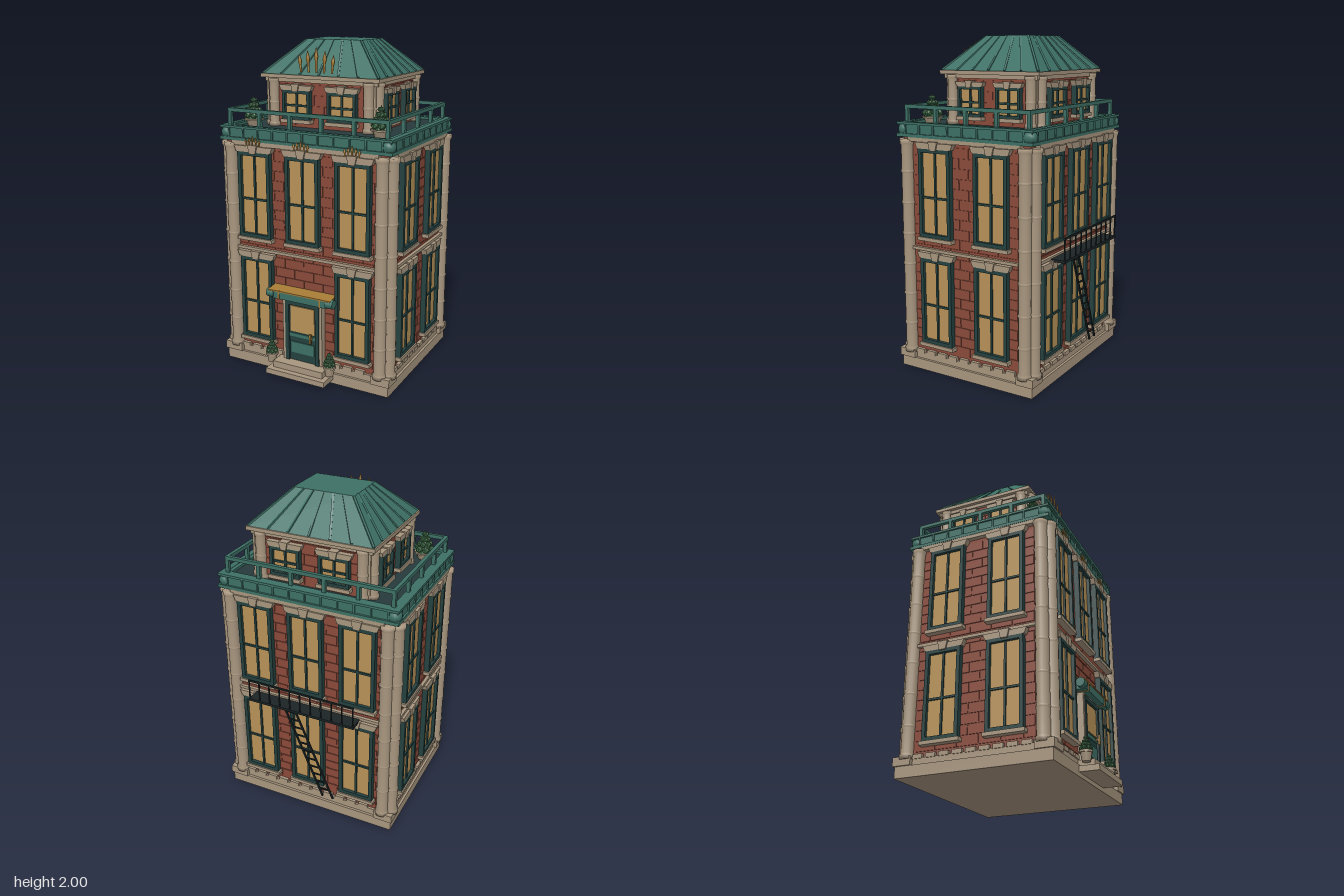
import * as THREE from 'three';
import { mergeGeometries } from 'three/addons/utils/BufferGeometryUtils.js';

const C = { brick: 0x8a4a3a, stone: 0xa8967f, teal: 0x3d7065, trim: 0x24413f, deck: 0x263a3c,
  glass: 0xb89258, gold: 0xa57a35, leaf: 0x3f6e48, iron: 0x1c2426 };
const mats = {};
const mat = (c, flat) => (mats[c + (flat ? 'f' : '')] ??=
  new THREE.MeshStandardMaterial({ color: C[c], flatShading: !!flat }));

// box by centre x, bottom y, centre z
const box = (w, h, d, x = 0, y = 0, z = 0) => new THREE.BoxGeometry(w, h, d).translate(x, y + h / 2, z);
function add(parent, name, color, geos, flat) {
  const list = [].concat(geos).map(g => (g.index ? g.toNonIndexed() : g));
  const m = new THREE.Mesh(list.length > 1 ? mergeGeometries(list) : list[0], mat(color, flat));
  m.name = name;
  parent.add(m);
  return m;
}
function group(parent, name, x = 0, y = 0, z = 0) {
  const g = new THREE.Group();
  g.name = name;
  g.position.set(x, y, z);
  parent.add(g);
  return g;
}
// square bar between two points
function bar(a, b, t, t2 = t) {
  const A = new THREE.Vector3(...a), B = new THREE.Vector3(...b);
  const m = new THREE.Matrix4().lookAt(B, A, new THREE.Vector3(0, 1, 0.001));
  return new THREE.BoxGeometry(t, t2, A.distanceTo(B)).applyMatrix4(m)
    .translate(...A.add(B).multiplyScalar(0.5).toArray());
}
function extrude(pts, depth) {
  const s = new THREE.Shape(pts.map(p => new THREE.Vector2(...p)));
  return new THREE.ExtrudeGeometry(s, { depth, bevelEnabled: false });
}
// rectangular ring
function frame(hx, hz, t, h, y) {
  return [-1, 1].flatMap(s => [box(hx * 2, h, t, 0, y, s * (hz - t / 2)),
    box(t, h, hz * 2 - t * 2, s * (hx - t / 2), y, 0)]);
}
// four wall groups whose local z points outward
function walls(parent, hx, hz, fn) {
  ['front', 'right', 'back', 'left'].forEach((side, i) => {
    const g = group(parent, side + 'Wall');
    g.rotation.y = i * Math.PI / 2;
    const [w, d] = i % 2 ? [hz, hx] : [hx, hz];
    fn(g, i, w, d);
  });
}
function bricks(g, w, d, y0, y1) {
  const rows = Math.round((y1 - y0) / 0.058), h = (y1 - y0) / rows, L = 0.13, out = [];
  for (let r = 0; r < rows; r++)
    for (let x = -w - (r % 2 ? L / 2 : 0); x < w - 0.001; x += L) {
      const a = Math.max(x, -w), b = Math.min(x + L, w);
      out.push(box(b - a - 0.005, h - 0.005, 0.01, (a + b) / 2, y0 + r * h, d));
    }
  add(g, 'bricks', 'brick', out);
}
// sash window with sill, flared lintel and keystone
function windowUnit(parent, x, y, z, w, h) {
  const g = group(parent, 'window', x, y, z), f = w * 0.1, k = w / 0.22;
  add(g, 'windowFrame', 'trim', [-1, 1].flatMap(s => [
    box(f, h, 0.038, s * (w - f) / 2, 0, 0.019),
    box(w - f * 2, f, 0.038, 0, s > 0 ? h - f : 0, 0.019)])
    .concat(box(0.012, h - f, 0.028, 0, 0, 0.014), box(w - f, 0.012, 0.028, 0, h * 0.44, 0.014)));
  add(g, 'windowGlass', 'glass', box(w - f, h - f, 0.018, 0, f / 2, 0.009));
  add(g, 'windowSill', 'stone', box(w * 1.1, 0.022, 0.046, 0, -0.022, 0.023));
  const a = w * 0.54, b = w * 0.6, t = 0.036 * k;
  add(g, 'windowLintel', 'stone', [
    extrude([[-a, h], [a, h], [b, h + t], [-b, h + t]], 0.038),
    extrude([[-0.02 * k, h - 0.008], [0.02 * k, h - 0.008], [0.032 * k, h + t + 0.008], [-0.032 * k, h + t + 0.008]], 0.047)]);
}
// banded column made of stacked drums
function columnGeo(r, y0, y1, drums, x, z) {
  const p = [[0, y0], [r * 1.2, y0], [r * 1.2, y0 + r * 0.7], [r, y0 + r * 0.9]];
  const h = (y1 - y0) / drums;
  for (let i = 1; i < drums; i++) {
    const y = y0 + i * h;
    p.push([r, y - 0.009], [r * 1.1, y - 0.005], [r * 1.1, y + 0.005], [r, y + 0.009]);
  }
  p.push([r, y1 - r * 0.9], [r * 1.18, y1 - r * 0.6], [r * 1.18, y1], [0, y1]);
  return new THREE.LatheGeometry(p.map(q => new THREE.Vector2(...q)), 14).translate(x, 0, z);
}
// a pair of columns at each corner: one toward the front or back, one toward the side
function cornerColumns(parent, r, y0, y1, n, fx, fz, sx, sz) {
  const out = [];
  for (const a of [-1, 1]) for (const b of [-1, 1])
    out.push(columnGeo(r, y0, y1, n, a * fx, b * fz), columnGeo(r, y0, y1, n, a * sx, b * sz));
  add(parent, 'cornerColumns', 'stone', out);
}
// fan of pointed leaves
function crest(parent, name, x, y, z, step, h, t) {
  const out = [];
  for (let i = -2; i <= 2; i++) {
    const k = h * (1 - Math.abs(i) * 0.15);
    const s = new THREE.LatheGeometry([[0, 0], [t * 0.5, 0], [t * 0.55, k * 0.4], [t, k * 0.62], [0, k]]
      .map(q => new THREE.Vector2(...q)), 6);
    out.push(s.scale(1, 1, 0.5).rotateZ(-i * 0.06).translate(x + i * step, y, z));
  }
  add(parent, name, 'gold', out, true);
}
// potted shrub with rings of leafy clumps
function shrub(parent, x, y, z, r, potH, h) {
  const g = group(parent, 'pottedShrub', x, y, z), out = [];
  add(g, 'pot', 'stone', [new THREE.CylinderGeometry(r, r * 0.7, potH, 10).translate(0, potH / 2, 0),
    new THREE.CylinderGeometry(r * 1.12, r * 1.12, potH * 0.2, 10).translate(0, potH * 0.9, 0)]);
  for (let l = 0; l < 4; l++) {
    const k = 1 - l * 0.26;
    out.push(new THREE.ConeGeometry(r * k, h * 0.35, 6).translate(0, potH + h * (0.17 + l * 0.22), 0));
    for (let i = 0; i < 6; i++) {
      const a = (i + l / 2) * Math.PI / 3;
      out.push(new THREE.IcosahedronGeometry(r * (0.2 + 0.2 * k), 0)
        .translate(Math.cos(a) * r * 0.75 * k, potH + h * (0.14 + l * 0.22), Math.sin(a) * r * 0.75 * k));
    }
  }
  add(g, 'foliage', 'leaf', out, true);
}

export function createModel() {
  const model = new THREE.Group();
  model.name = 'townhouse';
  const house = group(model, 'house', 0, 0, -0.015);
  const HX = 0.53, HZ = 0.43;

  // plinth and base course
  add(house, 'plinth', 'stone', [box(1.12, 0.065, 0.92), box(1.09, 0.04, 0.89, 0, 0.065)]);
  add(house, 'wallCore', 'brick', box(HX * 2, 1.32, HZ * 2, 0, 0.1));
  add(house, 'cornerBlocks', 'stone', [-1, 1].flatMap(a => [-1, 1].flatMap(b => [
    box(0.12, 0.05, 0.11, a * 0.51, 0.065, b * 0.415),
    box(0.07, 1.29, 0.07, a * 0.502, 0.11, b * 0.402)])));
  cornerColumns(house, 0.037, 0.1, 1.405, 7, 0.495, 0.436, 0.538, 0.4);

  // main storeys
  walls(house, HX, HZ, (g, i, w, d) => {
    bricks(g, w - 0.07, d, 0.14, 1.38);
    const xs = i % 2 ? [-0.19, 0.19] : [-0.325, 0, 0.325];
    for (const x of xs) {
      windowUnit(g, x, 0.84, d, 0.22, 0.52);
      if (i || x) windowUnit(g, x, 0.185, d, 0.22, 0.525);
    }
    add(g, 'stringCourse', 'stone', [box(w * 2 - 0.13, 0.018, 0.05, 0, 0.752, d),
      box(w * 2 - 0.1, 0.025, 0.06, 0, 1.397, d)]);
    const dentils = [];
    for (let x = -w + 0.1; x < w - 0.08; x += 0.08)
      if (i || Math.abs(x) > 0.16) dentils.push(box(0.06, 0.025, 0.04, x, 0.1, d));
    add(g, 'baseBlocks', 'stone', dentils);
    if (i === 0) for (const x of xs) crest(g, 'smallCrest', x, 1.395, d + 0.037, 0.021, 0.068, 0.009);
  });

  // roof terrace: parapet, corner balls, ribs, railing
  add(house, 'terraceDeck', 'deck', box(1.06, 0.07, 0.86, 0, 1.42));
  add(house, 'parapet', 'teal', [...frame(0.55, 0.448, 0.05, 0.085, 1.42),
    ...frame(0.562, 0.46, 0.03, 0.02, 1.42), ...frame(0.56, 0.458, 0.035, 0.014, 1.493)]);
  const balls = [], rails = [...frame(0.525, 0.422, 0.022, 0.022, 1.583)], ribs = [];
  for (const a of [-1, 1]) {
    for (const b of [-1, 1]) balls.push(new THREE.SphereGeometry(0.042, 10, 8).translate(a * 0.525, 1.462, b * 0.422));
    for (let i = 0; i <= 5; i++) rails.push(box(0.022, 0.09, 0.022, -0.514 + i * 0.2056, 1.5, a * 0.411));
    for (let i = 1; i < 4; i++) rails.push(box(0.022, 0.09, 0.022, a * 0.514, 1.5, -0.411 + i * 0.2055));
    for (let i = 0; i <= 10; i++) {
      ribs.push(box(0.01, 0.07, 0.012, -0.5 + i * 0.1, 1.43, a * 0.45));
      if (i < 9) ribs.push(box(0.012, 0.07, 0.01, a * 0.552, 1.43, -0.4 + i * 0.1));
    }
  }
  add(house, 'cornerBalls', 'teal', balls);
  add(house, 'parapetRibs', 'teal', ribs);
  add(house, 'railing', 'teal', rails);
  for (const s of [-1, 1]) shrub(model, s * 0.42, 1.49, 0.285, 0.055, 0.045, 0.135);

  // attic storey
  const attic = group(model, 'attic', 0, 0, -0.08);
  add(attic, 'atticCore', 'brick', box(0.7, 0.28, 0.59, 0, 1.48));
  cornerColumns(attic, 0.03, 1.49, 1.775, 2, 0.312, 0.302, 0.356, 0.262);
  add(attic, 'atticCorners', 'stone', [-1, 1].flatMap(a => [-1, 1].map(b =>
    box(0.06, 0.28, 0.06, a * 0.325, 1.49, b * 0.27))));
  walls(attic, 0.35, 0.295, (g, i, w, d) => {
    bricks(g, w - 0.05, d, 1.5, 1.75);
    for (const s of [-1, 1]) windowUnit(g, s * (i % 2 ? 0.128 : 0.15), 1.54, d, i % 2 ? 0.16 : 0.185, 0.17);
  });
  add(attic, 'atticCornice', 'stone', [box(0.74, 0.025, 0.62, 0, 1.755), box(0.78, 0.022, 0.66, 0, 1.778)]);

  // hipped roof with fanned seams
  const roof = new THREE.BoxGeometry(0.77, 0.2, 0.65), p = roof.attributes.position;
  for (let i = 0; i < p.count; i++)
    if (p.getY(i) > 0) p.setXYZ(i, Math.sign(p.getX(i)) * 0.185, 0.1, Math.sign(p.getZ(i)) * 0.14);
  add(attic, 'roof', 'teal', roof.translate(0, 1.897, 0), true);
  const seams = [];
  for (const s of [-1, 1]) for (let i = 0; i <= 6; i++) {
    const k = i / 3 - 1;
    seams.push(bar([k * 0.38, 1.803, s * 0.32], [k * 0.18, 1.994, s * 0.14], 0.012));
    if (i > 0 && i < 6) seams.push(bar([s * 0.38, 1.803, k * 0.32], [s * 0.182, 1.994, k * 0.138], 0.012));
  }
  add(attic, 'roofSeams', 'teal', seams);
  crest(model, 'roofCrest', 0, 1.82, 0.265, 0.05, 0.15, 0.014);

  // entrance
  const door = group(model, 'entrance');
  add(door, 'steps', 'stone', [box(0.4, 0.033, 0.2, 0, 0.025, 0.46), box(0.34, 0.04, 0.15, 0, 0.058, 0.45)]);
  add(door, 'doorFrame', 'trim', [-1, 1].map(s => box(0.025, 0.385, 0.055, s * 0.103, 0.098, 0.438))
    .concat(box(0.23, 0.025, 0.055, 0, 0.46, 0.438)));
  add(door, 'doorLeaf', 'trim', box(0.2, 0.37, 0.04, 0, 0.098, 0.432));
  add(door, 'doorPanels', 'teal', [box(0.16, 0.07, 0.012, 0, 0.15, 0.452), box(0.18, 0.022, 0.012, 0, 0.255, 0.452)]);
  add(door, 'doorGlass', 'glass', box(0.165, 0.165, 0.012, 0, 0.288, 0.452));
  add(door, 'doorHandle', 'gold', [box(0.012, 0.06, 0.012, 0.065, 0.24, 0.478), box(0.01, 0.01, 0.03, 0.065, 0.265, 0.463)]);
  add(door, 'doorSurround', 'stone', [-1, 1].map(s => box(0.018, 0.4, 0.05, s * 0.125, 0.09, 0.435))
    .concat(box(0.27, 0.016, 0.05, 0, 0.483, 0.435)));
  add(door, 'canopy', 'teal', [box(0.37, 0.05, 0.08, 0, 0.496, 0.455),
    ...[-1, 1].map(s => new THREE.CylinderGeometry(0.027, 0.027, 0.05, 12).rotateZ(Math.PI / 2).translate(s * 0.2, 0.523, 0.477))]);
  add(door, 'canopyTop', 'gold', [extrude([[0.41, 0.54], [0.5, 0.54], [0.5, 0.548], [0.41, 0.56]], 0.42)
    .rotateY(-Math.PI / 2).translate(0.21, 0, 0), ...[-1, 1].map(s => box(0.01, 0.055, 0.09, s * 0.14, 0.494, 0.455))]);
  for (const s of [-1, 1]) shrub(model, s * 0.2, 0.075, 0.488, 0.035, 0.06, 0.09);

  // rear fire escape
  const esc = group(model, 'fireEscape'), iron = [box(0.69, 0.015, 0.09, 0, 0.745, -0.515)];
  for (let i = 0; i <= 10; i++) iron.push(box(0.007, 0.135, 0.007, -0.34 + i * 0.068, 0.755, -0.555));
  iron.push(box(0.69, 0.01, 0.01, 0, 0.882, -0.555));
  add(esc, 'landing', 'iron', iron);
  const ladder = [], top = 0.11, foot = -0.15;
  for (const s of [-0.035, 0.035]) ladder.push(bar([top + s, 0.75, -0.504], [foot + s, 0.13, -0.504], 0.01));
  for (let i = 1; i < 12; i++) ladder.push(box(0.07, 0.008, 0.008, foot + (top - foot) * i / 12, 0.13 + 0.62 * i / 12, -0.504));
  add(esc, 'ladder', 'iron', ladder);
  return model;
}
